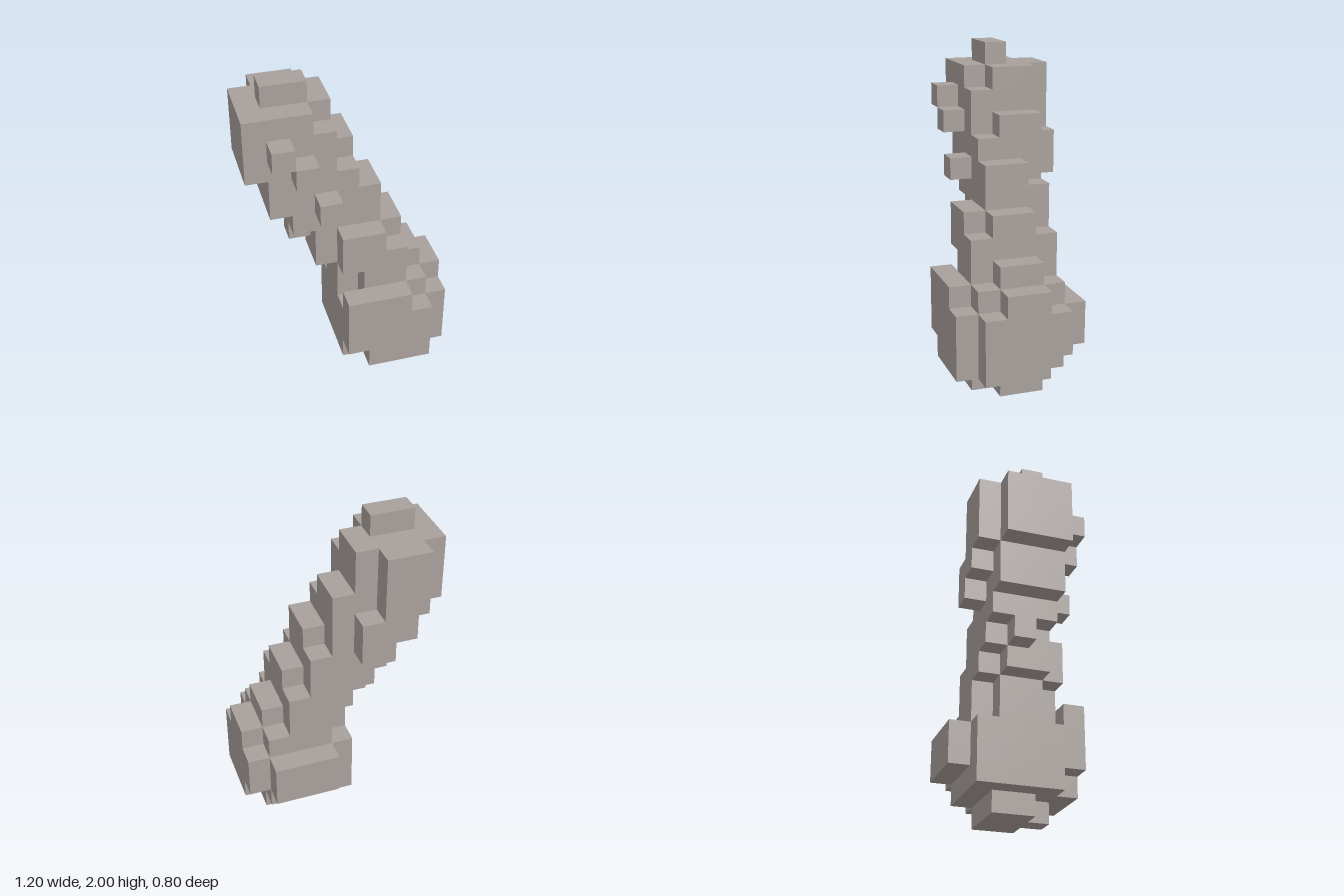
import * as THREE from 'three';
import { mergeGeometries } from 'three/addons/utils/BufferGeometryUtils.js';

const U = 2 / 15; // edge of one cube
const NX = 9, NZ = 6;

// Each part is a list of cell blocks: [x0, x1, y0, y1, z0, z1] (grid lines, upper end exclusive)
const PARTS = {
  foot: [
    [5, 8, 0, 1, 2, 4],
    [6, 7, 0, 1, 4, 5],
  ],
  base: [
    [4, 8, 1, 4, 1, 2], [8, 9, 2, 4, 1, 2], [5, 8, 4, 5, 1, 2],
    [4, 9, 1, 5, 2, 4],
    [4, 9, 1, 4, 4, 5], [5, 8, 4, 5, 4, 5],
  ],
  baseBackPlate: [[5, 8, 2, 4, 0, 1]],
  baseFrontPlate: [
    [5, 8, 1, 2, 5, 6], [4, 8, 2, 4, 5, 6], [4, 7, 4, 5, 5, 6],
  ],
  shaft: [
    // back layer
    [5, 7, 5, 6, 1, 2], [4, 7, 6, 7, 1, 2], [3, 6, 7, 8, 1, 2],
    [2, 6, 8, 9, 1, 2], [1, 5, 9, 11, 1, 2],
    // core layers
    [4, 8, 5, 6, 2, 4], [3, 7, 6, 7, 2, 4], [2, 7, 7, 8, 2, 3], [3, 7, 7, 8, 3, 4],
    [2, 6, 8, 9, 2, 4], [1, 6, 9, 10, 2, 4], [1, 5, 10, 11, 2, 4],
  ],
  shaftFrontPlate: [
    [5, 7, 5, 6, 4, 5], [4, 7, 6, 7, 4, 5], [4, 6, 7, 8, 4, 5],
  ],
  head: [
    [0, 5, 11, 12, 1, 3], [0, 4, 11, 12, 3, 4],
    [0, 4, 12, 13, 1, 4],
    [0, 4, 13, 14, 1, 3], [0, 3, 13, 14, 3, 4],
  ],
  headBackPlate: [
    [1, 3, 11, 14, 0, 1], [2, 4, 10, 11, 0, 1], [3, 4, 9, 10, 0, 1],
  ],
  headCap: [[1, 3, 14, 15, 2, 3]],
  studs: [
    [1, 2, 12, 13, 4, 5], [2, 3, 11, 12, 4, 5], [3, 4, 9, 10, 4, 5],
  ],
};

// Outward directions with the rotation that turns a +z quad to face them
const SIDES = [
  [1, 0, 0, 0, Math.PI / 2], [-1, 0, 0, 0, -Math.PI / 2],
  [0, 1, 0, -Math.PI / 2, 0], [0, -1, 0, Math.PI / 2, 0],
  [0, 0, 1, 0, 0], [0, 0, -1, 0, Math.PI],
];

function cellsOf(blocks) {
  const cells = [];
  for (const [x0, x1, y0, y1, z0, z1] of blocks)
    for (let x = x0; x < x1; x++)
      for (let y = y0; y < y1; y++)
        for (let z = z0; z < z1; z++) cells.push([x, y, z]);
  return cells;
}

// Only faces with no neighbouring cube are built
function skin(cells, filled) {
  const quads = [];
  for (const [x, y, z] of cells)
    for (const [dx, dy, dz, rx, ry] of SIDES) {
      if (filled.has([x + dx, y + dy, z + dz].join())) continue;
      const quad = new THREE.PlaneGeometry(U, U);
      quad.rotateX(rx).rotateY(ry);
      quad.translate(
        (x + 0.5 - NX / 2 + dx / 2) * U,
        (y + 0.5 + dy / 2) * U,
        (z + 0.5 - NZ / 2 + dz / 2) * U,
      );
      quads.push(quad);
    }
  return mergeGeometries(quads);
}

export function createModel() {
  const group = new THREE.Group();
  group.name = 'blockyLeaningColumn';
  const stone = new THREE.MeshStandardMaterial({ color: 0xa8a09c });
  stone.name = 'warm grey';

  const filled = new Set(cellsOf(Object.values(PARTS).flat()).map((c) => c.join()));
  for (const [name, blocks] of Object.entries(PARTS)) {
    const mesh = new THREE.Mesh(skin(cellsOf(blocks), filled), stone);
    mesh.name = name;
    group.add(mesh);
  }
  return group;
}
